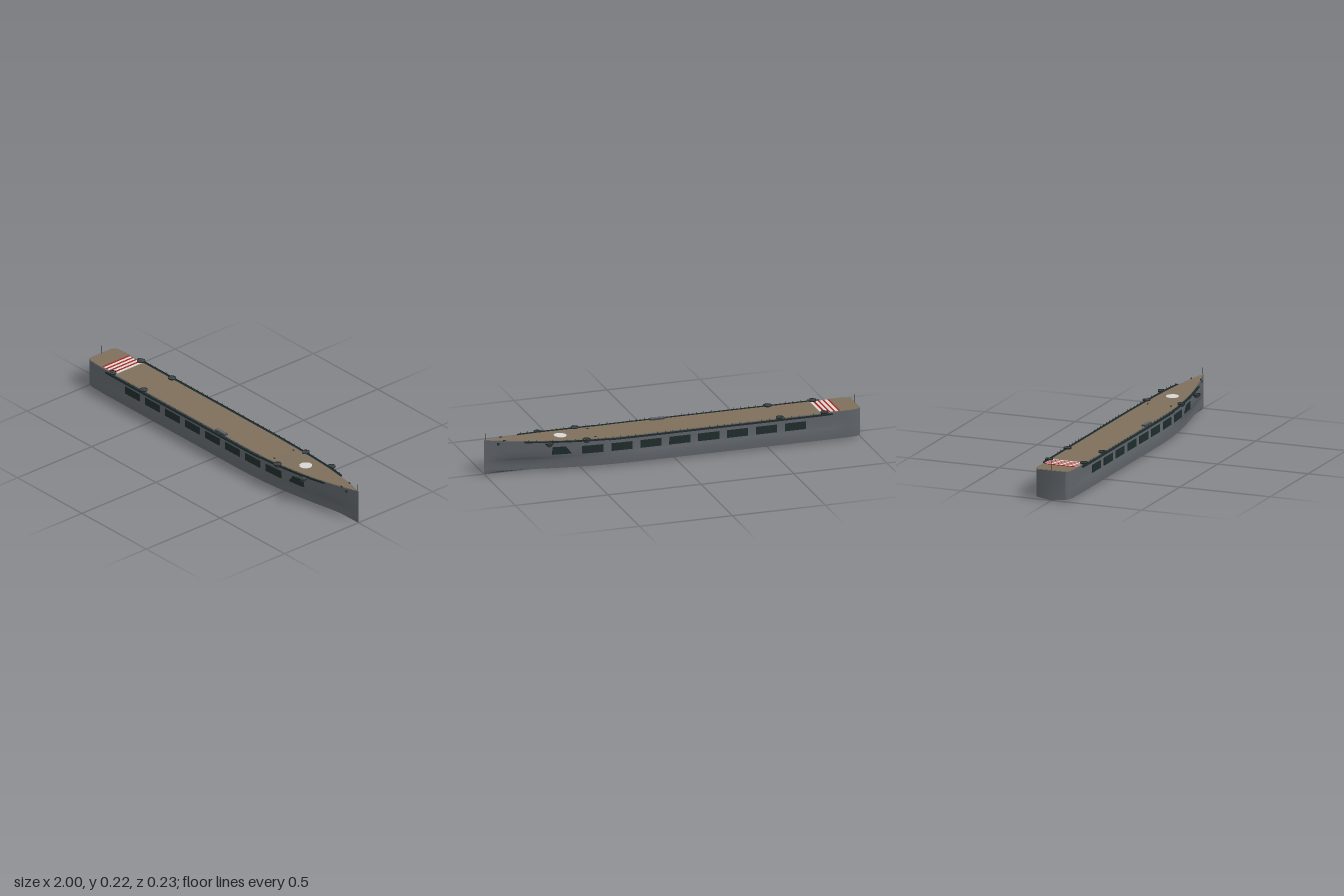
import * as THREE from 'three';
import { toCreasedNormals } from 'three/addons/utils/BufferGeometryUtils.js';

const paint = (color) => new THREE.MeshStandardMaterial({ color });

// Piecewise-linear lookup in a short [x, value] table
function lookup(table, x) {
  if (x <= table[0][0]) return table[0][1];
  for (let i = 1; i < table.length; i++) {
    const [x0, a] = table[i - 1], [x1, b] = table[i];
    if (x <= x1) return a + (b - a) * (x - x0) / (x1 - x0);
  }
  return table[table.length - 1][1];
}

// Half-widths of the deck edge and of the lower hull, and the deck sheer
const STERN = [[-1, 0.076], [-0.995, 0.084], [-0.985, 0.09], [-0.97, 0.095], [-0.94, 0.098]];
const TOP = [...STERN, [0.25, 0.098], [0.4, 0.094], [0.5, 0.088], [0.6, 0.079], [0.7, 0.067],
  [0.8, 0.05], [0.9, 0.029], [1, 0.001]];
const LOW = [...STERN, [-0.85, 0.101], [0.2, 0.101], [0.35, 0.096], [0.5, 0.081], [0.6, 0.066],
  [0.7, 0.048], [0.8, 0.029], [0.9, 0.012], [1, 0.0006]];
const top = (x) => lookup(TOP, x);
const low = (x) => lookup(LOW, x);
const mid = (x) => Math.min(top(x), low(x) * 0.4 + top(x) * 0.6) - 0.001 * (1 - Math.abs(x));
const deckY = (x) => 0.155 + 0.028 * Math.pow(Math.max(0, (x - 0.35) / 0.65), 1.4)
  + 0.003 * Math.max(0, (-x - 0.8) / 0.2);
const sideZ = (x, y) => mid(x) + (top(x) - mid(x)) * (y - 0.085) / (deckY(x) - 0.085);

// Skin closed rings of [x, y, z] points, with flat end caps
function loft(rings, crease = 0.5) {
  const n = rings[0].length, pos = [], idx = [];
  rings.forEach((r) => r.forEach((p) => pos.push(...p)));
  for (let i = 0; i < rings.length - 1; i++) {
    for (let j = 0; j < n; j++) {
      const a = i * n + j, b = i * n + (j + 1) % n;
      idx.push(a, b, a + n, b, b + n, a + n);
    }
  }
  const last = (rings.length - 1) * n;
  for (let j = 1; j < n - 1; j++) idx.push(0, j + 1, j, last, last + j, last + j + 1);
  const g = new THREE.BufferGeometry();
  g.setAttribute('position', new THREE.Float32BufferAttribute(pos, 3));
  g.setIndex(idx);
  return toCreasedNormals(g, crease);
}

const steps = (a, b, n) => Array.from({ length: n + 1 }, (_, i) => a + (b - a) * i / n);

// Rectangular ring on one side of the ship
function sideRing(s, x, zi, zo, y0, y1, xTop = x) {
  const r = [[xTop, y1, s * zo], [x, y0, s * zo], [x, y0, s * zi], [xTop, y1, s * zi]];
  return s > 0 ? r : r.reverse();
}

export function createModel() {
  const ship = new THREE.Group();
  const hullGrey = paint(0x5f6469), deckTan = paint(0x7e6f5b), darkPanel = paint(0x1f2b2b),
    gunGrey = paint(0x45494c), white = paint(0xd6d6d2), red = paint(0xa8231f);

  const add = (name, geo, mat, x = 0, y = 0, z = 0, parent = ship) => {
    const m = new THREE.Mesh(geo, mat);
    m.name = name;
    m.position.set(x, y, z);
    parent.add(m);
    return m;
  };

  // Hull
  const xs = [-1, -0.995, -0.985, -0.97, -0.94, -0.9, ...steps(-0.85, 0.2, 8), ...steps(0.25, 1, 20)];
  const hullRings = xs.map((x) => {
    const t = top(x), m = mid(x), l = low(x);
    const half = [[deckY(x), t], [0.12, (t + m) / 2], [0.085, m], [0.072, (m + l) / 2],
      [0.06, l], [0.03, l], [0.012, l * 0.985]];
    return [...half.map(([y, z]) => [x, y, z]), [x, 0.001, 0],
      ...half.reverse().map(([y, z]) => [x, y, -z])];
  });
  add('hull', loft(hullRings, 0.6), hullGrey);

  // Flight deck planking
  const plank = (x, w, y) => [[x, y, w], [x, y - 0.003, w], [x, y - 0.003, -w], [x, y, -w]];
  add('flightDeck', loft(xs.map((x) => plank(Math.max(x, -0.996), Math.max(top(x) - 0.004, 0.0005),
    deckY(x) + 0.0015))), deckTan);

  // Red and white warning stripes near the stern
  for (let i = 0; i < 8; i++) {
    const w = i % 2 ? 0.015 : 0.011;
    const x = -0.888 + Math.floor(i / 2) * 0.026 + (i % 2 ? 0.0185 : 0.0055);
    const stripe = [x - w / 2, x + w / 2].map((px) => plank(px, 0.088, deckY(px) + 0.003));
    add('deckStripe', loft(stripe), i % 2 ? white : red);
  }

  // Round deck marking
  const disc = add('deckCircle', new THREE.CylinderGeometry(0.033, 0.033, 0.003, 32), white,
    0.59, deckY(0.59) + 0.002, 0);
  disc.rotation.z = Math.atan2(deckY(0.62) - deckY(0.56), 0.06);

  for (const s of [1, -1]) {
    // Hangar side panels, the foremost with a raked rear edge
    for (let i = 0; i < 9; i++) {
      const fore = i === 8, x0 = fore ? 0.555 : -0.7 + i * 0.1555, x1 = fore ? 0.655 : x0 + 0.113;
      const y0 = fore ? 0.09 : 0.084, y1 = fore ? 0.13 : 0.125;
      const rings = steps(0, 1, 4).map((u) => {
        const x = x0 + (x1 - x0) * u, xt = fore ? x + 0.03 * (1 - u) : x;
        const zo = Math.max(sideZ(x, y0), sideZ(x, y1)) + 0.003;
        return sideRing(s, x, zo - 0.006, zo, y0, y1, xt);
      });
      add('hangarPanel', loft(rings), darkPanel);
    }

    // Side galleries with a low outer wall
    const gallery = (a, b, n, out, dy) => {
      const px = steps(a, b, n);
      add('gallery', loft(px.map((x) => sideRing(s, x, top(x) - 0.003, top(x) + out,
        deckY(x) + dy, deckY(x) + dy + 0.005))), darkPanel);
      add('galleryWall', loft(px.map((x) => sideRing(s, x, top(x) + out - 0.002, top(x) + out,
        deckY(x) + dy, deckY(x) + dy + 0.009))), darkPanel);
    };
    gallery(-0.84, 0.36, 16, 0.015, -0.008);
    gallery(0.36, 0.8, 12, 0.012, -0.006);

    // Railing posts
    for (const x of steps(-0.82, 0.78, 40)) {
      add('railPost', new THREE.BoxGeometry(0.0015, 0.012, 0.0015), darkPanel,
        x, deckY(x) + 0.004, s * (top(x) + 0.011));
    }

    // Gun tubs on tapered supports, each with a twin gun
    for (const [x, z] of [[-0.8, 0.096], [-0.56, 0.096], [0.48, 0.096], [0.68, 0.096]]) {
      const tub = new THREE.Group();
      tub.name = 'gunTub';
      tub.position.set(x, 0.158, s * z);
      ship.add(tub);
      add('tubSupport', new THREE.CylinderGeometry(0.019, 0.012, 0.012, 20), gunGrey, 0, -0.006, 0, tub);
      add('tubWall', new THREE.CylinderGeometry(0.02, 0.02, 0.007, 20, 1, true),
        darkPanelOpen(darkPanel), 0, 0.0035, 0, tub);
      add('tubFloor', new THREE.CylinderGeometry(0.019, 0.019, 0.002, 20), gunGrey, 0, 0.002, 0, tub);
      add('gunMount', new THREE.BoxGeometry(0.012, 0.007, 0.009), gunGrey, 0, 0.005, 0, tub);
      for (const d of [-0.003, 0.003]) {
        const barrel = add('gunBarrel', new THREE.CylinderGeometry(0.0012, 0.0012, 0.02, 8),
          darkPanel, d, 0.008, s * 0.009, tub);
        barrel.rotation.x = Math.PI / 2;
      }
    }

    // Bow anchors, fairleads and deck posts
    add('anchor', new THREE.BoxGeometry(0.01, 0.012, 0.004), darkPanel, 0.93, 0.162, s * (sideZ(0.93, 0.162) + 0.001));
    add('fairlead', new THREE.BoxGeometry(0.012, 0.006, 0.003), darkPanel, 0.9, deckY(0.9) + 0.003, s * 0.027);
    add('deckPost', new THREE.BoxGeometry(0.01, 0.004, 0.005), darkPanel, 0.42, deckY(0.42) + 0.003, s * 0.064);
  }

  // Low control platform at the port-hand deck edge
  add('controlPlatform', new THREE.BoxGeometry(0.078, 0.01, 0.022), gunGrey, 0.037, 0.16, 0.089);
  add('platformTop', new THREE.BoxGeometry(0.07, 0.002, 0.016), hullGrey, 0.037, 0.166, 0.089);

  // Flagstaffs
  const staff = new THREE.CylinderGeometry(0.001, 0.0013, 0.046, 8);
  add('bowStaff', staff, darkPanel, 0.99, 0.195, 0);
  add('sternStaff', staff, darkPanel, -0.994, 0.182, 0);
  return ship;
}

// Open tub walls show both faces
function darkPanelOpen(mat) {
  mat.side = THREE.DoubleSide;
  return mat;
}
